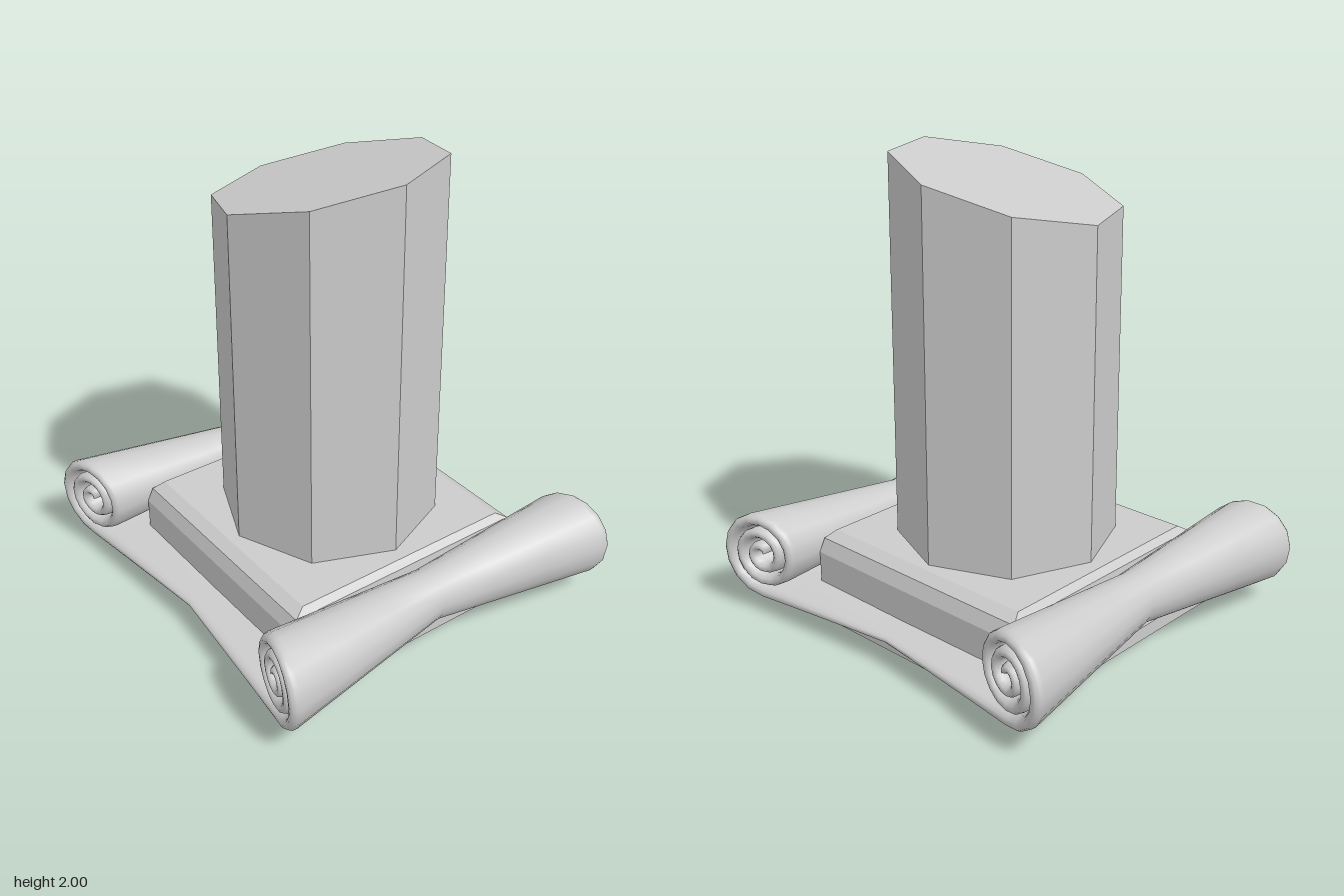
import * as THREE from 'three';

const flat = new THREE.MeshStandardMaterial({ color: 0xcccccc, flatShading: true });
const smooth = new THREE.MeshStandardMaterial({ color: 0xcccccc, side: THREE.DoubleSide });

function add(group, name, geometry, material) {
  const mesh = new THREE.Mesh(geometry, material);
  mesh.name = name;
  group.add(mesh);
  return mesh;
}

// Eight-sided shaft whose top is cut along a sloping plane
function shaftGeometry() {
  const g = new THREE.CylinderGeometry(0.467, 0.472, 1, 8);
  const p = g.attributes.position;
  for (let i = 0; i < p.count; i++) {
    const x = p.getX(i), z = p.getZ(i);
    p.setY(i, p.getY(i) > 0 ? 1.885 + 0.095 * x + 0.247 * z : 0.34);
  }
  g.translate(0.006, 0, 0);
  return g;
}

// Square block with chamfered upper edges, layer by layer
function blockGeometry() {
  const layers = [[0.05, 0.59, 0.56], [0.27, 0.59, 0.56], [0.33, 0.565, 0.555], [0.36, 0.515, 0.53]];
  const g = new THREE.BoxGeometry(2, 3, 2, 1, 3, 1);
  const p = g.attributes.position;
  for (let i = 0; i < p.count; i++) {
    const [y, hx, hz] = layers[Math.round(p.getY(i) + 1.5)];
    p.setXYZ(i, p.getX(i) * hx, y, p.getZ(i) * hz);
  }
  g.computeVertexNormals();
  return g;
}

// One thick sheet: a scroll at the front, a flat band, a scroll at the back.
// Each scroll is pinched towards x = 0.
function scrollGeometry() {
  const turns = 2.7, perTurn = 16, bandSteps = 6, arcSteps = 6;

  // Stations along the sheet: |p| < 1 is the band, beyond that p counts turns
  const half = [];
  for (let i = 1; i <= bandSteps; i++) half.push(i / bandSteps);
  const n = Math.round(turns * perTurn);
  for (let i = 1; i <= n; i++) half.push(1 + i / perTurn);
  const stations = [...half.map(p => -p).reverse(), 0, ...half];

  // Rounded cross-section: side (-1, 0, 1), inset from the end, offset in thickness
  const section = [];
  const inner = [-1, -0.66, -0.33, 0, 0.33, 0.66, 1];
  for (const v of inner) section.push({ u: v, bulge: 0, off: 1 });
  for (let i = 1; i < arcSteps; i++) {
    const a = (i / arcSteps) * Math.PI;
    section.push({ u: 1, bulge: Math.sin(a), off: Math.cos(a) });
  }
  for (const v of [...inner].reverse()) section.push({ u: v, bulge: 0, off: -1 });
  for (let i = 1; i < arcSteps; i++) {
    const a = (i / arcSteps) * Math.PI;
    section.push({ u: -1, bulge: -Math.sin(a), off: -Math.cos(a) });
  }

  const pos = [], index = [], m = section.length, round = 0.04;
  stations.forEach((p, i) => {
    const s = Math.sign(p) || 1, q = Math.min(Math.abs(p), 1);
    const t = Math.max(Math.abs(p) - 1, 0), angle = t * Math.PI * 2;
    const r = 0.187 - 0.061 * t, sin = Math.sin(angle), cos = Math.cos(angle);
    const last = i === 0 || i === stations.length - 1;
    const h = last ? 0 : (0.034 + 0.022 * q - 0.005 * t) / 2;
    const w = t > 0 ? 0.795 + 0.25 * r * sin : 0.73 + 0.065 * q;
    for (const { u, bulge, off } of section) {
      const x = u * (w - round) + bulge * round;
      const e = Math.min(Math.abs(x) / 0.8, 1);
      const k = 0.57 + 0.43 * e, cz = 0.68 + 0.04 * e;
      const rad = (r + off * h) * k;
      const edgeY = 0.275 - rad * cos;
      const y = t > 0 ? edgeY : THREE.MathUtils.lerp(0.113 - off * h, edgeY, q);
      pos.push(x, y, s * (q * cz + rad * sin));
    }
    if (i === 0) return;
    for (let j = 0; j < m; j++) {
      const a = (i - 1) * m + j, b = (i - 1) * m + (j + 1) % m;
      index.push(a, b, a + m, b, b + m, a + m);
    }
  });
  const g = new THREE.BufferGeometry();
  g.setAttribute('position', new THREE.Float32BufferAttribute(pos, 3));
  g.setIndex(index);
  g.computeVertexNormals();
  return g;
}

export function createModel() {
  const model = new THREE.Group();
  model.name = 'brokenColumn';
  const plinth = add(model, 'plinth', new THREE.BoxGeometry(1.28, 0.06, 1.28), flat);
  plinth.position.y = 0.03;
  add(model, 'block', blockGeometry(), flat);
  add(model, 'scrolls', scrollGeometry(), smooth);
  add(model, 'shaft', shaftGeometry(), flat);
  return model;
}
